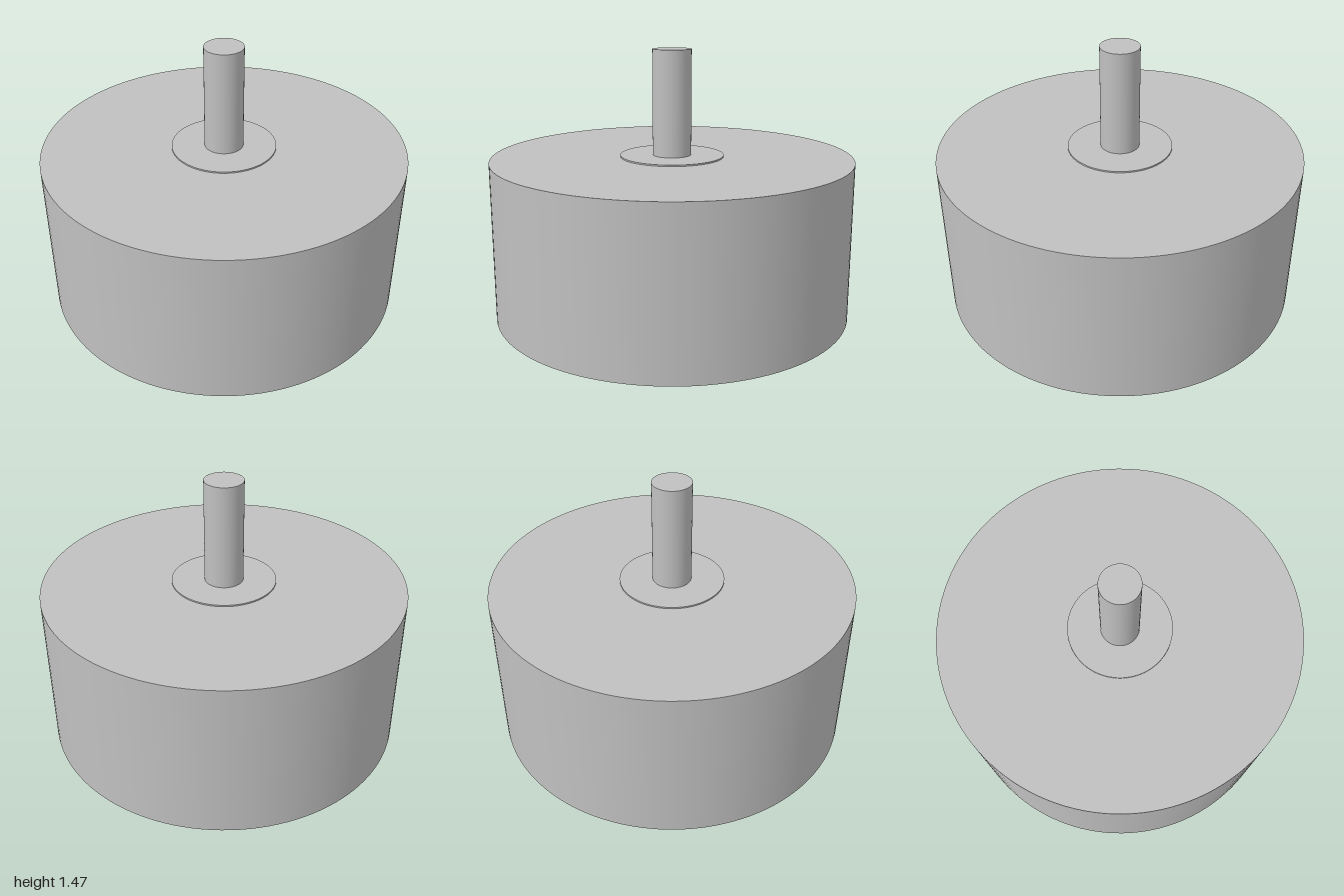
import * as THREE from 'three';

export function createModel() {
  const model = new THREE.Group();
  model.name = 'drumWithShaft';
  const grey = new THREE.MeshStandardMaterial({ color: 0xc0c0c0 });
  grey.name = 'plain grey';

  // Upright cylinder spanning y0 to y1
  const addCylinder = (name, radius, y0, y1, sides) => {
    const geometry = new THREE.CylinderGeometry(radius, radius, y1 - y0, sides);
    const mesh = new THREE.Mesh(geometry, grey);
    mesh.position.y = (y0 + y1) / 2;
    mesh.name = name;
    model.add(mesh);
  };

  addCylinder('body', 1, 0, 0.883, 128);
  // Thin raised boss around the shaft
  addCylinder('collar', 0.288, 0.883, 0.891, 96);
  addCylinder('shaft', 0.107, 0.891, 1.473, 64);

  return model;
}
